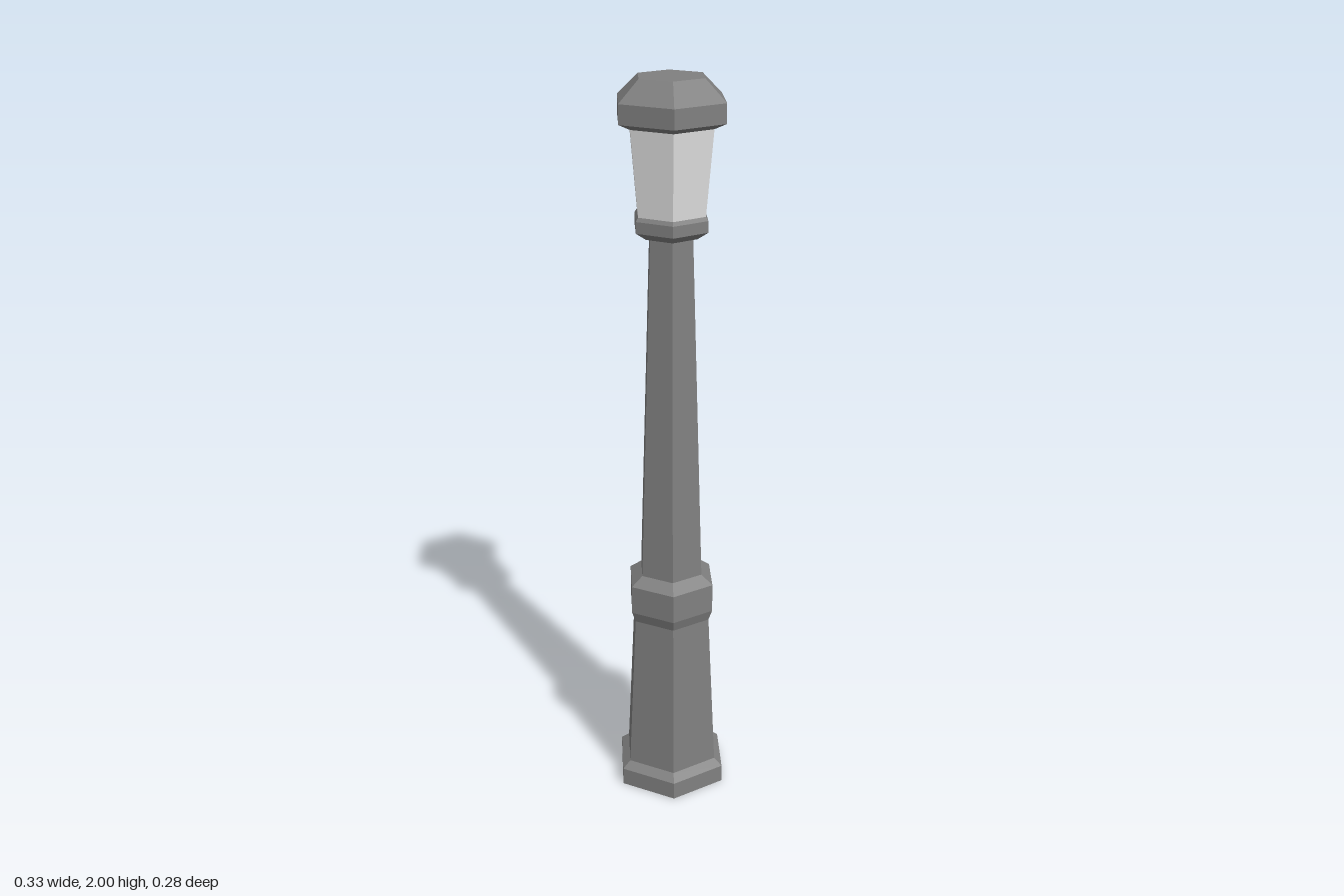
import * as THREE from 'three';

const iron = new THREE.MeshStandardMaterial({ color: 0x808080, flatShading: true, side: THREE.DoubleSide });
iron.name = 'grey iron';
const glass = new THREE.MeshStandardMaterial({ color: 0xe0e0e0, flatShading: true, side: THREE.DoubleSide });
glass.name = 'pale glass';

// Six-sided turned part from [radius, height] pairs, with corners on the x axis
function hexPart(name, profile, material) {
  const points = profile.map(([r, y]) => new THREE.Vector2(r, y));
  const geometry = new THREE.LatheGeometry(points, 6, Math.PI / 2).toNonIndexed();
  geometry.computeVertexNormals();
  const mesh = new THREE.Mesh(geometry, material);
  mesh.name = name;
  return mesh;
}

export function createModel() {
  const lamp = new THREE.Group();
  lamp.name = 'streetLamp';
  lamp.add(
    // Foot, open underneath, with a chamfered top
    hexPart('foot', [[0.164, 0], [0.164, 0.05], [0.14, 0.07]], iron),
    // Thick tapering lower post
    hexPart('pedestal', [[0.14, 0.07], [0.117, 0.52]], iron),
    // Collar where the post narrows
    hexPart('collar', [[0.117, 0.52], [0.128, 0.55], [0.128, 0.63], [0.094, 0.655]], iron),
    // Slender upper post
    hexPart('shaft', [[0.094, 0.655], [0.063, 1.6]], iron),
    // Cup that carries the lantern
    hexPart('lanternBase', [[0.063, 1.6], [0.075, 1.6], [0.105, 1.62], [0.105, 1.65], [0.098, 1.66]], iron),
    // Flaring glass panes
    hexPart('lanternGlass', [[0.098, 1.66], [0.119, 1.88]], glass),
    // Roof with a flat top
    hexPart('roof', [[0.119, 1.88], [0.152, 1.895], [0.152, 1.945], [0.093, 2], [0, 2]], iron)
  );
  return lamp;
}
